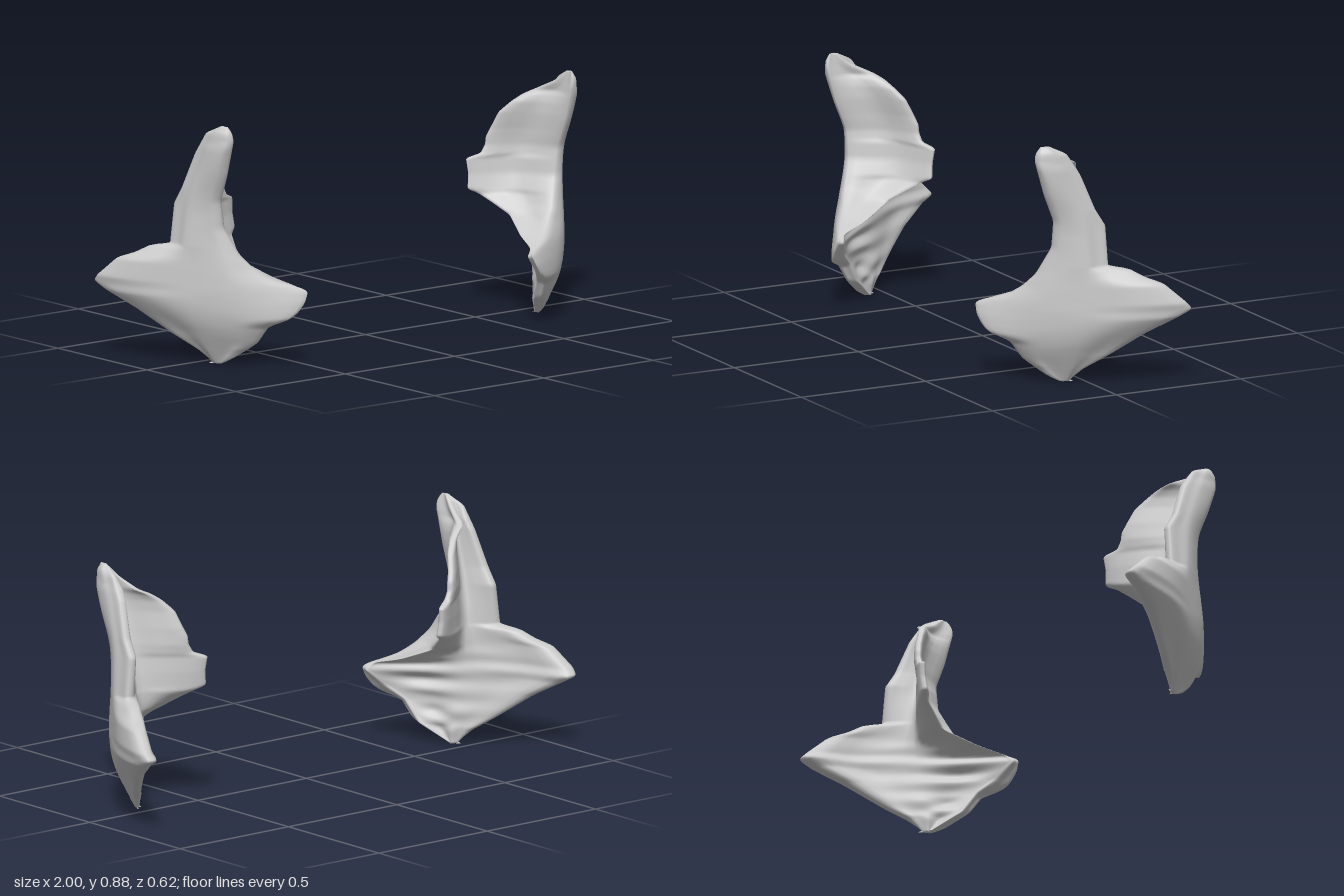
import * as THREE from 'three';

// Guide lines running up the bone: each entry is [y, x, z]
const back = [[0, .737, .05], [.02, .752, .038], [.05, .78, .015], [.1, .835, -.05], [.19, .92, -.16], [.25, .98, -.26],
  [.275, .99, -.308], [.3, .995, -.285], [.37, .965, -.21], [.392, .93, -.155], [.424, .895, -.105],
  [.432, .862, -.04], [.58, .845, -.037], [.64, .84, 0], [.77, .82, .05], [.85, .81, .1], [.88, .79, .16]];
const side = [[0, .737, .06], [.1, .8, .06], [.2, .85, .06], [.3, .87, .03], [.42, .86, .04],
  [.6, .845, .05], [.75, .83, .11], [.85, .825, .15], [.88, .797, .17]];
const cheek = [[0, .73, .075], [.08, .73, .14], [.15, .75, .175], [.25, .755, .185], [.35, .775, .16],
  [.45, .805, .115], [.6, .82, .1], [.75, .82, .165], [.84, .81, .2], [.88, .79, .19]];
const rim = [[0, .725, .08], [.02, .71, .12], [.08, .65, .19], [.15, .63, .235], [.165, .595, .28],
  [.19, .56, .3], [.23, .53, .31], [.275, .51, .306], [.31, .615, .24], [.35, .665, .2], [.4, .71, .17],
  [.5, .753, .13], [.6, .767, .13], [.7, .77, .17], [.83, .772, .208], [.86, .777, .205], [.88, .785, .19]];
const plateEdge = [[0, .72, .065], [.07, .645, .15], [.15, .62, .2], [.2, .57, .25], [.26, .508, .285],
  [.285, .535, .27], [.31, .57, .17], [.36, .62, .05], [.4, .59, -.01], [.43, .565, -.06], [.445, .533, -.08],
  [.5, .54, -.085], [.555, .535, -.092], [.568, .58, -.067], [.6, .598, -.062], [.63, .6, -.06], [.66, .612, -.05],
  [.72, .63, -.025], [.76, .665, .005], [.785, .7, .025], [.8, .735, .045], [.84, .765, .12], [.88, .783, .17]];
const hollow = [[0, .72, .06], [.04, .715, .06], [.1, .722, .052], [.2, .738, .045], [.3, .758, .025],
  [.4, .755, .02], [.5, .76, .035], [.6, .77, .06], [.75, .775, .1], [.85, .78, .13], [.88, .785, .165]];

const TOP = 0.88;

// Point on a guide line at height y
function at(guide, y) {
  let i = 1;
  while (i < guide.length - 1 && guide[i][0] < y) i++;
  const [y0, x0, z0] = guide[i - 1], [y1, x1, z1] = guide[i];
  const t = THREE.MathUtils.clamp((y - y0) / (y1 - y0), 0, 1);
  return new THREE.Vector3(x0 + (x1 - x0) * t, y, z0 + (z1 - z0) * t);
}

// The same, rounded off by averaging over a height of 2 * blur
function soft(guide, y, blur) {
  const b = Math.min(blur, y, TOP - y), sum = new THREE.Vector3();
  for (let k = -4; k <= 4; k++) sum.add(at(guide, y + b * k / 4));
  return sum.divideScalar(9).setY(y);
}

const between = (a, b, dx = 0, dz = 0) =>
  a.clone().lerp(b, 0.5).add(new THREE.Vector3(dx, 0, dz));

// Closed horizontal cross-section of the bone at height y
function section(y) {
  const B = soft(back, y, 0.006), S = soft(side, y, 0.06), C = soft(cheek, y, 0.05);
  const R = soft(rim, y, 0.012), P = soft(plateEdge, y, 0.006), H = soft(hollow, y, 0.03);
  const { smoothstep } = THREE.MathUtils;
  const thick = Math.min(1, y / 0.06, (TOP + 0.005 - y) / 0.08);
  const arm = smoothstep(y, 0.1, 0.25) * (1 - smoothstep(y, 0.38, 0.44));
  const bulge = 0.09 * Math.abs(B.z - S.z) * arm;
  const inner = B.clone().add(new THREE.Vector3(-(0.024 + 0.018 * arm) * thick, 0, -0.004 * thick));
  const rear = P.clone().add(new THREE.Vector3(0.016 * thick, 0, -0.014 * thick));
  // the socket wall is scooped between the rim and the plate edge
  const scoop = 0.12 * smoothstep(y, 0.27, 0.4);
  const socket = between(R, P, (R.z - P.z) * scoop, (P.x - R.x) * scoop);
  // uneven joint surface on the inside, below the socket
  const joint = thick * (1 - smoothstep(y, 0.28, 0.38));
  const dent = joint * (0.008 + 0.005 * Math.sin(y * 62) + 0.003 * Math.sin(y * 109 + 2));
  H.x += joint * 0.004 * Math.sin(y * 85 + 1);
  const ring = [B, between(B, S, bulge, 0), S, C, between(C, R, 0.008 * thick, 0.008 * thick), R, socket, P, rear,
    between(rear, H, dent, dent - 0.008 * (thick - joint)), H, between(H, inner, bulge * 0.8, 0), inner];
  return new THREE.CatmullRomCurve3(ring, true, 'centripetal');
}

// Loft the cross-sections into a closed skin, mirrored when sign is -1
function boneGeometry(sign) {
  const rows = 160, cols = 52, pos = [], index = [];
  const face = (a, b, c) => sign > 0 ? index.push(a, b, c) : index.push(a, c, b);
  for (let i = 0; i <= rows; i++) {
    const curve = section(TOP * i / rows);
    for (let j = 0; j < cols; j++) {
      const p = curve.getPoint(j / cols);
      pos.push(sign * p.x, p.y, p.z);
    }
  }
  for (let i = 0; i < rows; i++) {
    for (let j = 0; j < cols; j++) {
      const k = (j + 1) % cols, a = i * cols, d = a + cols;
      face(a + j, d + j, a + k);
      face(a + k, d + j, d + k);
    }
  }
  // end caps
  for (const [row, flip] of [[0, false], [rows, true]]) {
    const start = row * cols, centre = pos.length / 3, c = [0, 0, 0];
    for (let j = 0; j < cols; j++) for (let n = 0; n < 3; n++) c[n] += pos[(start + j) * 3 + n] / cols;
    pos.push(...c);
    for (let j = 0; j < cols; j++) {
      const a = start + j, b = start + (j + 1) % cols;
      flip ? face(centre, b, a) : face(centre, a, b);
    }
  }
  const geometry = new THREE.BufferGeometry();
  geometry.setAttribute('position', new THREE.Float32BufferAttribute(pos, 3));
  geometry.setIndex(index);
  geometry.computeVertexNormals();
  return geometry;
}

export function createModel() {
  const group = new THREE.Group();
  group.name = 'cheekbones';
  const material = new THREE.MeshStandardMaterial({ color: 0xcccccc, side: THREE.DoubleSide });
  for (const [name, sign] of [['leftCheekbone', 1], ['rightCheekbone', -1]]) {
    const bone = new THREE.Mesh(boneGeometry(sign), material);
    bone.name = name;
    group.add(bone);
  }
  return group;
}
